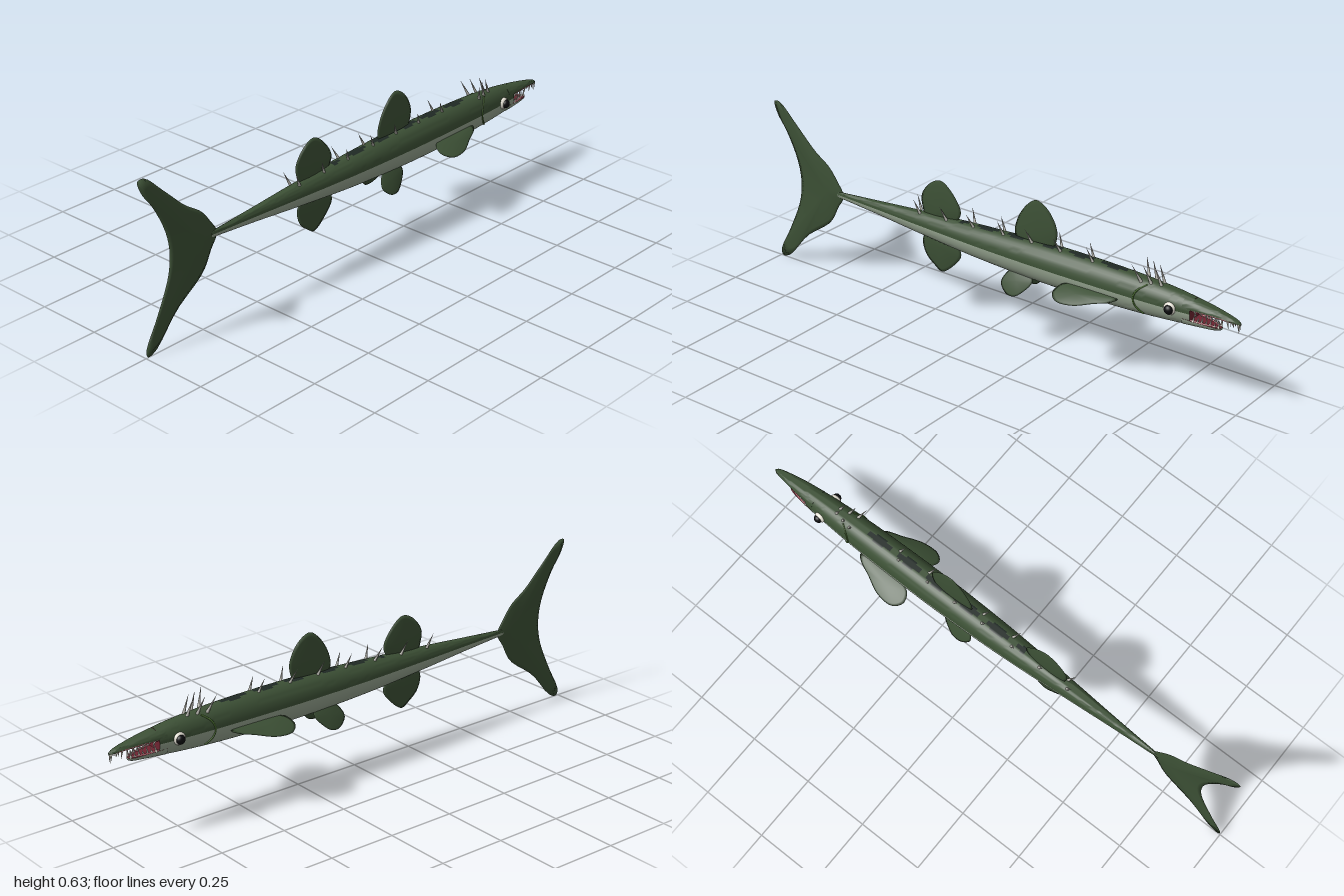
import * as THREE from 'three';
import { toCreasedNormals } from 'three/addons/utils/BufferGeometryUtils.js';

const mat = (name, color, side = THREE.FrontSide) => {
  const m = new THREE.MeshStandardMaterial({ color, side });
  m.name = name;
  return m;
};

export function createModel() {
  const model = new THREE.Group();
  model.name = 'fish';
  const green = mat('darkGreen', 0x3c5035);
  const belly = mat('paleBelly', 0x92a08c);
  const saddle = mat('backPatch', 0x1f2924);
  const mouth = mat('mouthRed', 0x6e2430);
  const gum = mat('gumPink', 0xb4606c);
  const bone = mat('spineGrey', 0xb9b8b0);
  const ivory = mat('toothIvory', 0xe6e2d6);
  const black = mat('pupilBlack', 0x0c0c0e);
  const gill = mat('gillGreen', 0x4a6e30);
  const skin = [green, belly, saddle, mouth];

  const add = (name, geometry, material, parent = model) => {
    const mesh = new THREE.Mesh(geometry, material);
    mesh.name = name;
    parent.add(mesh);
    return mesh;
  };

  // Loft of sections [x, top, bottom, halfWidth, mid]; paint(x, angle, isCap) picks the skin material
  const N = 40;
  function loft(sections, steps, paint) {
    const curve = (k) => new THREE.CatmullRomCurve3(
      sections.map((s) => new THREE.Vector3(s[0], s[k], s[3])), false, 'catmullrom', 0.5);
    const curves = [1, 2, 4].map(curve);
    const rows = [];
    for (let i = 0; i <= steps; i++) {
      const [t, b, m] = curves.map((c) => c.getPoint(i / steps));
      rows.push([t.x, t.y, b.y, t.z, m.y]);
    }
    // closing rows at both ends
    const close = (r) => [r[0], r[4], r[4], 0, r[4]];
    rows.unshift(close(rows[0]));
    rows.push(close(rows[rows.length - 1]));
    const pos = [];
    const lists = skin.map(() => []);
    rows.forEach(([x, top, bot, w, mid], i) => {
      for (let j = 0; j < N; j++) {
        const a = (j / N) * Math.PI * 2, c = Math.cos(a);
        pos.push(x, mid + c * (c > 0 ? top - mid : mid - bot), w * Math.sin(a));
        if (i === rows.length - 1) continue;
        const k = (j + 1) % N;
        const p = i * N + j, q = i * N + k;
        const mid2 = ((j + 0.5) / N) * Math.PI * 2;
        const cap = i === rows.length - 2;
        lists[paint((x + rows[i + 1][0]) / 2, Math.min(mid2, Math.PI * 2 - mid2), cap)]
          .push(p, q, p + N, q, q + N, p + N);
      }
    });
    const g = new THREE.BufferGeometry();
    g.setAttribute('position', new THREE.Float32BufferAttribute(pos, 3));
    g.setIndex(lists.flat());
    let start = 0;
    lists.forEach((l, i) => {
      if (l.length) g.addGroup(start, l.length, i);
      start += l.length;
    });
    return toCreasedNormals(g, 0.9);
  }

  // Body, with dark diamonds along the back and a pale underside
  const M = 0.331;
  add('body', loft([
    [-0.7, 0.342, 0.32, 0.005, M], [-0.5, 0.357, 0.304, 0.018, M],
    [-0.3, 0.372, 0.286, 0.033, M], [-0.05, 0.387, 0.267, 0.049, M],
    [0.2, 0.398, 0.257, 0.057, M], [0.4, 0.4, 0.256, 0.057, M],
    [0.6, 0.396, 0.262, 0.053, M], [0.75, 0.386, 0.272, 0.045, M],
    [0.83, 0.376, 0.28, 0.037, M],
  ], 110, (x, a, cap) => {
    if (cap) return 3;
    if (a > Math.PI / 2) return 1;
    const d = Math.abs(((x + 2.02) % 0.13) - 0.065) / 0.065;
    return x > -0.12 && x < 0.58 && a < 0.38 * (1 - d) ? 2 : 0;
  }), skin);

  // Jaws, flat and red on the mouth side
  add('upperJaw', loft([
    [0.8, 0.379, 0.345, 0.038, 0.345], [0.88, 0.367, 0.345, 0.029, 0.345],
    [0.95, 0.354, 0.34, 0.018, 0.34], [0.985, 0.345, 0.334, 0.011, 0.334],
    [1.0, 0.337, 0.331, 0.003, 0.331],
  ], 24, (x, a) => (a > Math.PI / 2 ? 3 : 0)), skin);
  add('lowerJaw', loft([
    [0.8, 0.308, 0.277, 0.037, 0.308], [0.87, 0.305, 0.283, 0.029, 0.305],
    [0.915, 0.302, 0.287, 0.019, 0.302], [0.93, 0.3, 0.292, 0.007, 0.3],
  ], 20, (x, a) => (a > Math.PI / 2 ? 1 : 3)), skin);

  // Pointed cone from a base to a tip
  const UP = new THREE.Vector3(0, 1, 0);
  function spike(name, base, tip, radius, material, parent) {
    const a = new THREE.Vector3(...base), d = new THREE.Vector3(...tip).sub(a);
    const g = new THREE.ConeGeometry(radius, d.length(), 8).translate(0, d.length() / 2, 0);
    const m = add(name, g, material, parent);
    m.position.copy(a);
    m.quaternion.setFromUnitVectors(UP, d.normalize());
  }
  const tube = (name, pts, r, material, parent) => add(name, new THREE.TubeGeometry(
    new THREE.CatmullRomCurve3(pts.map((p) => new THREE.Vector3(...p))), 20, r, 8), material, parent);

  // Teeth and gums on both sides of each jaw
  const teeth = new THREE.Group();
  teeth.name = 'teeth';
  model.add(teeth);
  for (const s of [1, -1]) {
    for (let i = 0; i < 9; i++) {
      const t = i / 8, x = 0.845 + 0.147 * t;
      const z = 0.031 - 0.026 * t, y = 0.346 - 0.013 * t * t;
      const len = i % 2 ? 0.022 : 0.032;
      spike('upperTooth', [x, y, s * z], [x + 0.003, y - len, s * z * 0.65], 0.0042, ivory, teeth);
    }
    for (let i = 0; i < 7; i++) {
      const t = i / 6, x = 0.84 + 0.083 * t, z = 0.031 - 0.022 * t, y = 0.304 - 0.004 * t;
      const len = i % 2 ? 0.02 : 0.031;
      spike('lowerTooth', [x, y, s * z], [x + 0.003, y + len, s * z * 0.7], 0.0042, ivory, teeth);
    }
    tube('upperGum', [[0.83, 0.344, s * 0.029], [0.9, 0.342, s * 0.021], [0.985, 0.334, s * 0.005]], 0.004, gum);
    tube('lowerGum', [[0.83, 0.306, s * 0.029], [0.88, 0.304, s * 0.022], [0.922, 0.301, s * 0.006]], 0.004, gum);

    // Eye and gill line
    const eye = add('eyeWhite', new THREE.SphereGeometry(0.022, 24, 16), ivory);
    eye.position.set(0.758, 0.333, s * 0.043);
    eye.scale.z = 0.6;
    const pupil = add('pupil', new THREE.SphereGeometry(0.016, 24, 16), black);
    pupil.position.set(0.76, 0.333, s * 0.052);
    pupil.scale.z = 0.85;
    tube('gillLine', [[0.662, 0.385, s * 0.026], [0.632, 0.36, s * 0.047], [0.622, 0.331, s * 0.052],
      [0.632, 0.305, s * 0.049], [0.655, 0.28, s * 0.035]], 0.003, gill);

    // Back spines: a spaced row and a crest behind the head
    [-0.31, -0.19, -0.07, 0.06, 0.18, 0.3, 0.43].forEach((bx, i) => {
      const x = bx + s * 0.008, y = 0.368 + 0.024 * Math.min(1, (bx + 0.31) / 0.5);
      spike('backSpine', [x, y, s * 0.014], [x - 0.024, y + 0.052, s * (0.022 + 0.004 * (i % 3))], 0.0055, bone);
    });
    [0.635, 0.67, 0.705].forEach((x, i) => {
      spike('crestSpine', [x, 0.385, s * (0.024 - 0.007 * i)],
        [x - 0.026, 0.448, s * (0.045 - 0.015 * i)], 0.0058, bone);
    });
  }

  // Lens-shaped fin: rings of a smooth outline shrinking to a raised centre
  function fin(name, outline, thick, [cx, cy]) {
    const pts = new THREE.CatmullRomCurve3(
      outline.map(([x, y]) => new THREE.Vector3(x, y, 0)), true).getPoints(72).slice(0, -1);
    if (THREE.ShapeUtils.area(pts) < 0) pts.reverse();
    const n = pts.length, R = 8, pos = [], idx = [];
    // scale runs from the front centre over the rim to the back centre
    for (let i = 0; i <= 2 * R; i++) {
      const s = 1 - Math.abs(i / R - 1);
      const z = thick * (1 - s * s) * Math.sign(R - i);
      pts.forEach((p, j) => {
        pos.push(cx + (p.x - cx) * s, cy + (p.y - cy) * s, z);
        if (i === 2 * R) return;
        const a = i * n + j, b = i * n + ((j + 1) % n);
        idx.push(a, a + n, b, b, a + n, b + n);
      });
    }
    const g = new THREE.BufferGeometry();
    g.setAttribute('position', new THREE.Float32BufferAttribute(pos, 3));
    g.setIndex(idx);
    g.computeVertexNormals();
    return add(name, g, green);
  }

  fin('frontDorsalFin', [[0.13, 0.37], [0.105, 0.405], [0.115, 0.46], [0.155, 0.522], [0.195, 0.548],
    [0.245, 0.522], [0.28, 0.46], [0.275, 0.41], [0.25, 0.37]], 0.008, [0.195, 0.42]);
  fin('rearDorsalFin', [[-0.28, 0.35], [-0.302, 0.395], [-0.303, 0.44], [-0.26, 0.494], [-0.215, 0.51],
    [-0.165, 0.475], [-0.13, 0.417], [-0.14, 0.385], [-0.17, 0.36]], 0.008, [-0.22, 0.4]);
  fin('analFin', [[-0.28, 0.3], [-0.302, 0.265], [-0.288, 0.212], [-0.25, 0.178], [-0.218, 0.161],
    [-0.165, 0.198], [-0.13, 0.245], [-0.137, 0.275], [-0.17, 0.3]], 0.008, [-0.22, 0.26]);
  fin('tailFin', [[-0.672, 0.33], [-0.7, 0.38], [-0.74, 0.43], [-0.805, 0.475], [-0.89, 0.555],
    [-0.972, 0.628], [-0.998, 0.625], [-0.985, 0.58], [-0.94, 0.515], [-0.892, 0.41], [-0.88, 0.33],
    [-0.892, 0.25], [-0.945, 0.13], [-0.998, 0.025], [-0.99, 0.003], [-0.955, 0.015], [-0.86, 0.12],
    [-0.74, 0.21], [-0.7, 0.28]], 0.007, [-0.75, 0.33]);

  // Paired fins hang from a hinge and splay outwards
  for (const s of [1, -1]) {
    const pelvic = fin('pelvicFin', [[0.12, 0.02], [0.09, -0.01], [0.08, -0.045], [0.112, -0.077],
      [0.145, -0.078], [0.175, -0.055], [0.203, -0.01], [0.18, 0.02]], 0.005, [0.14, -0.025]);
    pelvic.position.set(0, 0.267, s * 0.027);
    pelvic.rotation.x = -s * 0.44;
    const pectoral = fin('pectoralFin', [[0.38, 0.005], [0.345, -0.012], [0.335, -0.05], [0.365, -0.082],
      [0.43, -0.08], [0.5, -0.045], [0.55, -0.02], [0.565, 0], [0.47, 0.01]], 0.005, [0.42, -0.035]);
    pectoral.position.set(0, 0.311, s * 0.054);
    pectoral.rotation.x = -s * 1.11;
  }
  return model;
}
